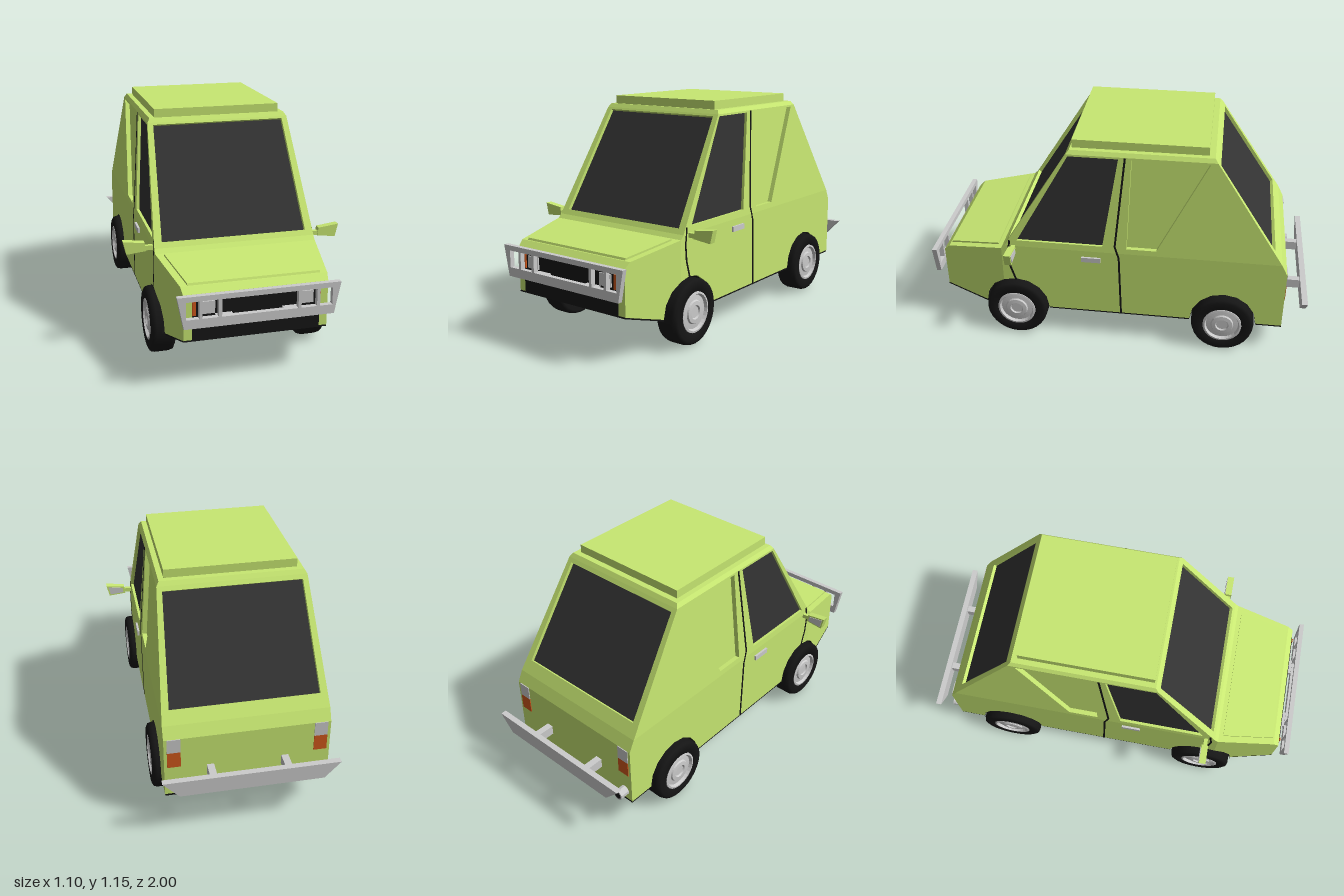
import * as THREE from 'three';

const mat = (color, side = THREE.FrontSide) =>
  new THREE.MeshStandardMaterial({ color, side, flatShading: true });
const V = (x, y, z) => new THREE.Vector3(x, y, z);

export function createModel() {
  const car = new THREE.Group();
  car.name = 'car';
  const paint = mat(0xc8e872, THREE.DoubleSide), black = mat(0x151515, THREE.DoubleSide);
  const glass = mat(0x333333, THREE.DoubleSide), metal = mat(0xcccccc), orange = mat(0xd0581c);
  const rubber = new THREE.MeshStandardMaterial({ color: 0x151515 });

  const add = (name, geo, material, parent = car) => {
    const m = new THREE.Mesh(geo, material);
    m.name = name;
    parent.add(m);
    return m;
  };
  // box from its limits
  const box = (name, x0, x1, y0, y1, z0, z1, material) => {
    const g = new THREE.BoxGeometry(Math.abs(x1 - x0), y1 - y0, Math.abs(z1 - z0));
    g.translate((x0 + x1) / 2, (y0 + y1) / 2, (z0 + z1) / 2);
    return add(name, g, material);
  };
  const shapeOf = pts => new THREE.Shape(pts.map(p => new THREE.Vector2(...p)));
  // side profile of [z, y] points, spread across x to a half width that may vary
  const prism = (name, pts, halfWidth, material) => {
    const g = new THREE.ExtrudeGeometry(shapeOf(pts), { depth: 1, bevelEnabled: false });
    const p = g.attributes.position;
    for (let i = 0; i < p.count; i++) {
      const z = p.getX(i), y = p.getY(i);
      p.setXYZ(i, (0.5 - p.getZ(i)) * 2 * halfWidth(z, y), y, z);
    }
    g.computeVertexNormals();
    return add(name, g, material);
  };
  // plate in the xy plane with rectangular holes [x0, x1, y0, y1]
  const plate = (name, pts, holes, z, depth, material) => {
    const s = shapeOf(pts);
    for (const [a, b, c, d] of holes)
      s.holes.push(new THREE.Path([[a, c], [a, d], [b, d], [b, c]].map(p => new THREE.Vector2(...p))));
    const g = new THREE.ExtrudeGeometry(s, { depth, bevelEnabled: false });
    g.translate(0, 0, z);
    return add(name, g, material);
  };
  const quads = list => {
    const pos = [];
    for (const [a, b, c, d] of list)
      for (const v of [a, b, c, a, c, d]) pos.push(v.x, v.y, v.z);
    const g = new THREE.BufferGeometry();
    g.setAttribute('position', new THREE.Float32BufferAttribute(pos, 3));
    g.computeVertexNormals();
    return g;
  };
  // four-sided panel with a recessed pane
  const windowPanel = (name, outer, inner, depth, paneMaterial) => {
    const n = outer[1].clone().sub(outer[0]).cross(outer[3].clone().sub(outer[0])).normalize();
    const deep = inner.map(v => v.clone().addScaledVector(n, -depth));
    const faces = [];
    for (let i = 0; i < 4; i++) {
      const j = (i + 1) % 4;
      faces.push([outer[i], outer[j], inner[j], inner[i]], [inner[i], inner[j], deep[j], deep[i]]);
    }
    add(name + 'Frame', quads(faces), paint);
    add(name + 'Pane', quads([deep]), paneMaterial);
  };

  // lower body, with angular wheel arches cut out
  const frontZ = 0.54, rearZ = -0.57, axleY = 0.165, archR = 0.175;
  const arch = (cz, from, to) => {
    const pts = [];
    for (let i = from; i <= to; i++)
      pts.push([cz + archR * Math.cos(i * Math.PI / 8), axleY + archR * Math.sin(i * Math.PI / 8)]);
    return pts;
  };
  const noseZ = 0.607;
  const noseWidth = z => 0.405 - Math.max(0, z - noseZ) / 0.333 * 0.06;
  prism('lowerBody', [...arch(frontZ, 3, 8), ...arch(rearZ, 0, 8), [-0.88, 0.165], [-0.88, 0.49],
    [-0.85, 0.55], [0.588, 0.55], [noseZ, 0.53]], () => 0.405, paint);
  prism('nose', [[noseZ, 0.53], [0.91, 0.483], [0.94, 0.455], [0.94, 0.23], ...arch(frontZ, 0, 3)],
    noseWidth, paint);
  prism('bonnet', [[0.63, 0.525], [0.63, 0.535], [0.9, 0.494], [0.905, 0.483]],
    z => noseWidth(z) - 0.035, paint);

  // underside and wheel housings
  box('chassis', -0.3, 0.3, 0.157, 0.36, -0.87, 0.715, black);
  for (const [a, b] of [[-0.88, -0.745], [-0.395, 0.365]])
    box('floor', -0.404, 0.404, 0.157, 0.167, a, b, black);
  prism('frontValance', [[0.715, 0.166], [0.94, 0.231], [0.942, 0.224], [0.715, 0.157]], noseWidth, black);

  // cabin
  const base = 0.55, top = 1.09;
  const lerp = (a, b, y) => a + (b - a) * (y - base) / (top - base);
  const sideX = y => y < base ? 0.405 : lerp(0.405, 0.365, y);
  const screen = pts => pts.map(([x, y]) => V(x, y, lerp(0.588, 0.25, y)));
  const hatch = pts => pts.map(([x, y]) => V(-x, y, lerp(-0.85, -0.495, y)));
  const end = [[-0.405, base], [0.405, base], [0.365, top], [-0.365, top]];
  windowPanel('windscreen', screen(end),
    screen([[-0.365, 0.575], [0.365, 0.575], [0.337, 1.08], [-0.337, 1.08]]), 0.018, glass);
  windowPanel('rearWindow', hatch(end),
    hatch([[-0.365, 0.61], [0.365, 0.61], [0.34, 1.07], [-0.34, 1.07]]), 0.018, glass);
  for (const s of [1, -1]) {
    const side = pts => {
      const v = pts.map(([z, y]) => V(s * sideX(y), y, z));
      return s > 0 ? v : v.reverse();
    };
    windowPanel('doorWindow', side([[0.588, base], [-0.02, base], [-0.045, top], [0.25, top]]),
      side([[0.52, 0.585], [0.07, 0.585], [-0.01, 1.08], [0.24, 1.08]]), 0.015, glass);
    windowPanel('quarterPanel', side([[-0.02, base], [-0.85, base], [-0.495, top], [-0.045, top]]),
      side([[-0.055, 0.58], [-0.21, 0.58], [-0.46, 1.08], [-0.075, 1.08]]), 0.025, paint);
  }
  prism('roof', [[0.25, top], [0.235, 1.11], [-0.48, 1.11], [-0.495, top]],
    (z, y) => y > 1.1 ? 0.352 : 0.365, paint);
  box('roofPanel', -0.325, 0.325, 1.108, 1.153, -0.45, 0.225, paint);

  // front grille, lamps and bumper
  box('grille', -0.305, 0.305, 0.225, 0.445, 0.93, 0.944, black);
  plate('frontBumper', [[-0.355, 0.315], [0.355, 0.315], [0.385, 0.47], [-0.385, 0.47]],
    [[-0.18, 0.18, 0.36, 0.445], [0.195, 0.27, 0.36, 0.445], [-0.27, -0.195, 0.36, 0.445],
      [0.285, 0.345, 0.36, 0.445], [-0.345, -0.285, 0.36, 0.445]], 0.973, 0.025, metal);
  plate('rearBumper', [[-0.35, 0.25], [0.35, 0.25], [0.43, 0.335], [-0.43, 0.335]], [], -1, 0.03, metal);

  // tyre and rim outlines as [radius, distance along the axle]
  const lathe = (pts, n) => new THREE.LatheGeometry(pts.map(p => new THREE.Vector2(...p)), n).rotateZ(-Math.PI / 2);
  const tyreGeo = lathe([[0.1, -0.055], [0.145, -0.06], [0.16, -0.052], [0.165, -0.035], [0.165, 0.035],
    [0.16, 0.052], [0.145, 0.06], [0.105, 0.058], [0.1, 0.04]], 28);
  const rimGeo = lathe([[0, -0.045], [0.102, -0.045], [0.102, 0.058], [0.092, 0.06], [0.085, 0.045],
    [0.06, 0.048], [0.055, 0.056], [0.035, 0.058], [0.03, 0.05], [0, 0.05]], 28);
  const linerGeo = new THREE.CylinderGeometry(0.1735, 0.1735, 0.11, 8, 1, true, 0, Math.PI).rotateZ(Math.PI / 2);

  for (const s of [1, -1]) {
    // wheels
    for (const z of [frontZ, rearZ]) {
      const wheel = new THREE.Group();
      wheel.name = z > 0 ? 'frontWheel' : 'rearWheel';
      wheel.position.set(s * 0.385, axleY, z);
      if (s < 0) wheel.rotation.y = Math.PI;
      add('tyre', tyreGeo, rubber, wheel);
      add('rim', rimGeo, metal, wheel);
      car.add(wheel);
      add('archLiner', linerGeo, black).position.set(s * (z > 0 ? 0.343 : 0.351), axleY, z);
    }
    // lamps and bumper mounts
    box('headlamp', s * 0.2, s * 0.27, 0.36, 0.42, 0.935, 0.952, metal);
    box('indicator', s * 0.288, s * 0.305, 0.355, 0.425, 0.935, 0.952, orange);
    box('frontMount', s * 0.12, s * 0.2, 0.325, 0.355, 0.93, 0.98, metal);
    box('rearMount', s * 0.165, s * 0.2, 0.27, 0.32, -0.975, -0.87, metal);
    box('tailLampLower', s * 0.325, s * 0.39, 0.33, 0.415, -0.884, -0.87, orange);
    box('tailLampUpper', s * 0.325, s * 0.39, 0.415, 0.49, -0.884, -0.87, metal);
    box('doorHandle', s * 0.4, s * 0.416, 0.488, 0.515, 0.08, 0.18, metal);

    // door seams, as thin strips on the body side
    const seams = [[[-0.043, 1.085], [0.005, 0.59], [-0.016, 0.52], [-0.027, 0.166]],
      [[0.56, 0.58], [0.572, 0.5], [0.565, 0.42], [0.54, 0.335]]];
    for (const line of seams)
      for (let i = 0; i + 1 < line.length; i++) {
        const [a, b] = [line[i], line[i + 1]].map(([z, y]) => V(s * sideX(y), y, z));
        const strip = add('doorSeam', new THREE.BoxGeometry(0.004, 0.01, a.distanceTo(b) + 0.004), black);
        strip.position.copy(a).lerp(b, 0.5);
        strip.up.set(0, 0, 1);
        strip.lookAt(b);
      }

    // door mirrors
    box('mirrorArm', s * 0.395, s * 0.45, 0.532, 0.555, 0.53, 0.55, paint);
    const head = [[0.44, 0.53], [0.535, 0.52], [0.55, 0.585], [0.445, 0.572]];
    const flip = pts => pts.map(([x, y]) => [s * x, y]);
    plate('mirrorHead', flip(head), [], 0.52, 0.035, paint);
    plate('mirrorGlass', flip([[0.452, 0.537], [0.528, 0.529], [0.539, 0.576], [0.455, 0.565]]),
      [], 0.517, 0.005, metal);
  }

  // exhaust
  const pipe = add('exhaust', new THREE.CylinderGeometry(0.027, 0.027, 0.1, 10), metal);
  pipe.rotation.x = Math.PI / 2;
  pipe.position.set(-0.358, 0.217, -0.88);
  const bore = add('exhaustBore', new THREE.CircleGeometry(0.02, 10), black);
  bore.rotation.y = Math.PI;
  bore.position.set(-0.358, 0.217, -0.931);
  return car;
}
